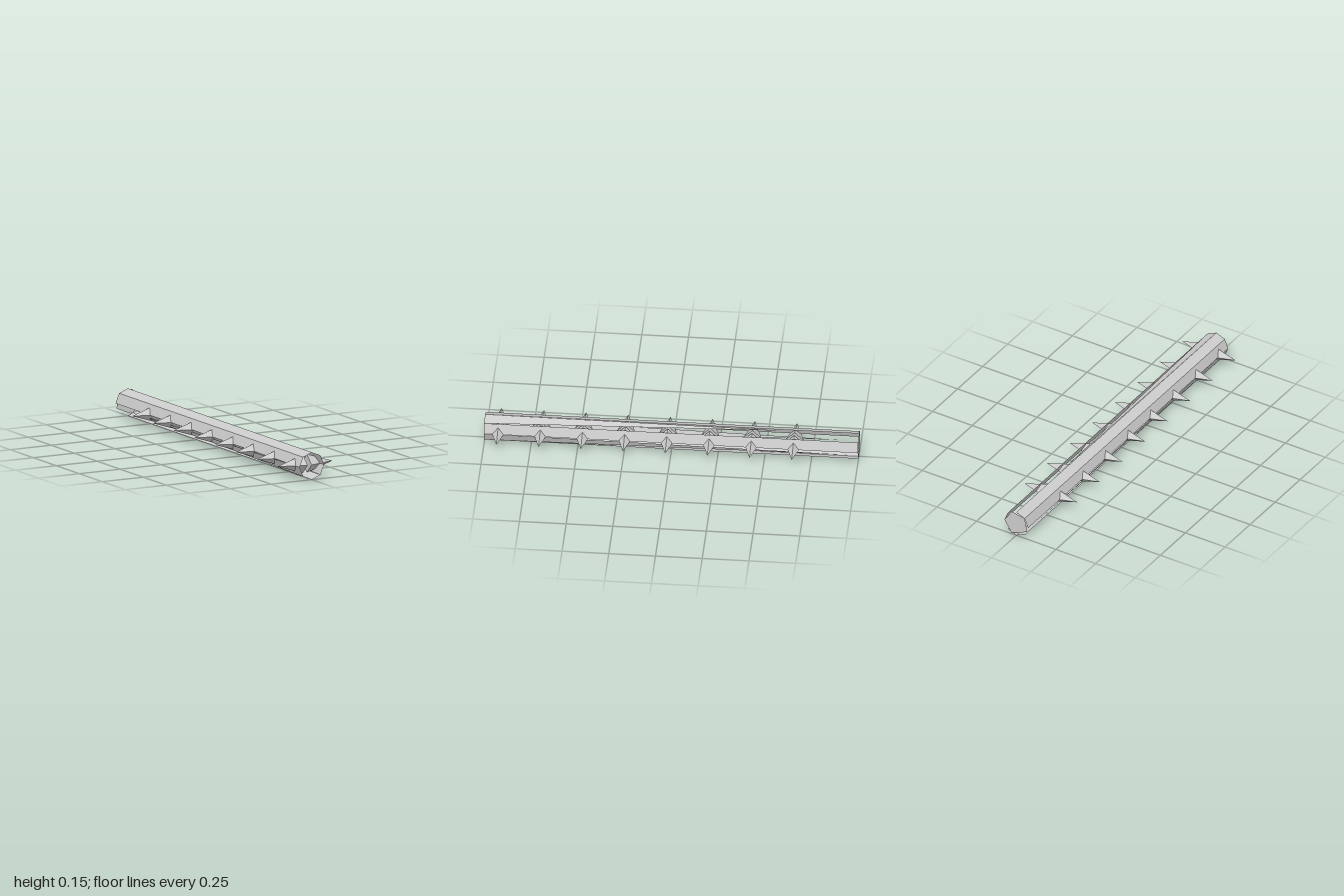
import * as THREE from 'three';

const R = 0.0745, CY = 0.0745, HALF = 1;

export function createModel() {
  const group = new THREE.Group();
  const material = new THREE.MeshStandardMaterial({ color: 0xcccccc, flatShading: true, side: THREE.DoubleSide });

  const add = (name, geometry) => {
    const mesh = new THREE.Mesh(geometry, material);
    mesh.name = name;
    group.add(mesh);
    return mesh;
  };

  // point on the shaft's round section, angle in degrees from +x
  const at = (deg, z) => {
    const a = THREE.MathUtils.degToRad(deg);
    return [R * Math.cos(a), CY + R * Math.sin(a), z];
  };

  // lengthwise plank between two angles, closing to a splinter at the back if a tip is given
  const plank = (name, a, b, tip) => {
    const corners = [at(a, HALF), at(b, HALF)];
    if (tip) {
      // the tip lies on the plank's flat face
      const p = at(a, tip.z), q = at(b, tip.z);
      corners.push(p.map((v, i) => v + (q[i] - v) * tip.t));
    } else corners.push(at(b, -HALF), at(a, -HALF));
    const g = new THREE.BufferGeometry();
    g.setAttribute('position', new THREE.Float32BufferAttribute(corners.flat(), 3));
    g.setIndex(tip ? [0, 2, 1] : [0, 2, 1, 0, 3, 2]);
    g.computeVertexNormals();
    add(name, g);
  };

  // eight planks around the hollow shaft, some split and tapering
  const splits = {
    1: { z: -0.6, t: 0.9 },
    4: { z: -0.9, t: 0.4 },
    7: { z: -0.95, t: 0.6 },
  };
  for (let i = 0; i < 8; i++) plank(splits[i] ? 'splitPlank' : 'plank', i * 45, i * 45 + 45, splits[i]);

  // five-sided plate closing the back end
  const plate = new THREE.Shape([0, 67.5, 135, 202.5, 292.5].map((d) => {
    const [x, y] = at(d, 0);
    return new THREE.Vector2(x, y);
  }));
  add('backPlate', new THREE.ShapeGeometry(plate)).position.z = -HALF;

  // rows of four-sided spikes on both sides
  const spike = new THREE.ConeGeometry(0.05, 0.156, 4).rotateZ(-Math.PI / 2);
  for (let i = 0; i < 8; i++) {
    for (const side of [1, -1]) {
      const mesh = add(side > 0 ? 'leftSpike' : 'rightSpike', spike);
      mesh.position.set(side * 0.09, CY, 0.925 - i * 0.2257);
      if (side < 0) mesh.rotation.y = Math.PI;
    }
  }
  return group;
}
